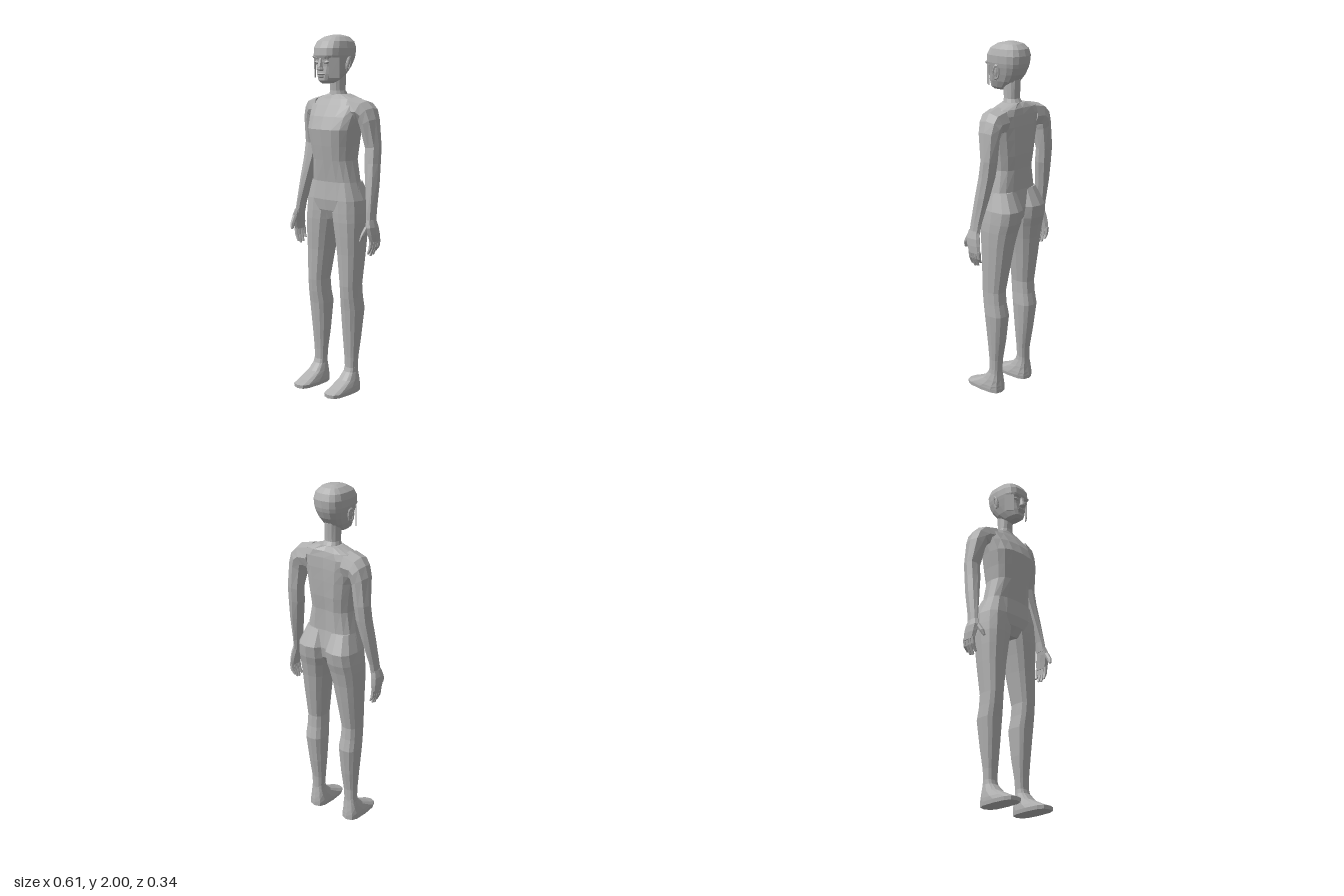
import * as THREE from 'three';

const skin = new THREE.MeshStandardMaterial({ color: 0xb0b0b0, flatShading: true });
skin.name = 'grey skin';

// Ring: [innerX, innerY, outerX, outerY, backZ, frontZ]; rings run bottom to top.
function loft(rings, sides = 8, power = 0.8, groove = 0) {
  const pos = [], idx = [];
  const bend = (v) => Math.sign(v) * Math.pow(Math.abs(v), power);
  for (const [xi, yi, xo, yo, z0, z1] of rings) {
    for (let j = 0; j < sides; j++) {
      const t = (j / sides) * Math.PI * 2;
      const u = (1 + bend(Math.cos(t))) / 2, v = (1 + bend(Math.sin(t))) / 2;
      const dent = j === sides * 0.75 ? groove : 0;
      pos.push(xi + (xo - xi) * u, yi + (yo - yi) * u, z0 + (z1 - z0) * v + dent);
    }
  }
  const n = rings.length;
  for (const [xi, yi, xo, yo, z0, z1] of [rings[0], rings[n - 1]]) {
    pos.push((xi + xo) / 2, (yi + yo) / 2, (z0 + z1) / 2);
  }
  for (let j = 0; j < sides; j++) {
    const k = (j + 1) % sides;
    for (let i = 0; i < n - 1; i++) {
      const a = i * sides + j, b = i * sides + k;
      idx.push(a, a + sides, b, b, a + sides, b + sides);
    }
    idx.push(n * sides, j, k, n * sides + 1, (n - 1) * sides + k, (n - 1) * sides + j);
  }
  const g = new THREE.BufferGeometry();
  g.setAttribute('position', new THREE.Float32BufferAttribute(pos, 3));
  g.setIndex(idx);
  const flat = g.toNonIndexed();
  flat.computeVertexNormals();
  return flat;
}

// Centred ring [y, halfWidth, backZ, frontZ] and level ring [y, innerX, outerX, backZ, frontZ]
const centred = ([y, w, z0, z1]) => [-w, y, w, y, z0, z1];
const level = ([y, x0, x1, z0, z1]) => [x0, y, x1, y, z0, z1];
const mirrored = ([xi, yi, xo, yo, z0, z1]) => [-xo, yo, -xi, yi, z0, z1];

export function createModel() {
  const model = new THREE.Group();
  model.name = 'figure';
  const add = (name, geometry) => {
    const m = new THREE.Mesh(geometry, skin);
    m.name = name;
    model.add(m);
    return m;
  };
  const pair = (name, rings, sides, power) => {
    add('left' + name, loft(rings, sides, power));
    add('right' + name, loft(rings.map(mirrored), sides, power));
  };

  // Torso and neck
  add('torso', loft([
    [0.985, 0.05, -0.08, 0.03], [1.04, 0.15, -0.13, 0.056], [1.1, 0.178, -0.14, 0.065],
    [1.2, 0.15, -0.122, 0.056], [1.32, 0.127, -0.122, 0.075], [1.4, 0.137, -0.132, 0.088],
    [1.49, 0.153, -0.137, 0.1], [1.56, 0.165, -0.139, 0.072], [1.62, 0.18, -0.137, 0.035],
    [1.655, 0.14, -0.13, 0.012], [1.68, 0.06, -0.11, 0.0],
  ].map(centred), 16, 0.75, 0.012));
  add('neck', loft([
    [1.66, 0.055, -0.11, 0.005], [1.7, 0.041, -0.085, 0], [1.8, 0.041, -0.09, 0.01],
  ].map(centred), 12, 0.85));

  // Head
  add('head', loft([
    [1.74, 0.022, 0.005, 0.075], [1.755, 0.042, -0.035, 0.092], [1.79, 0.06, -0.08, 0.093],
    [1.83, 0.073, -0.112, 0.09], [1.868, 0.084, -0.13, 0.094], [1.89, 0.089, -0.136, 0.103],
    [1.93, 0.091, -0.14, 0.1], [1.965, 0.082, -0.128, 0.078], [1.99, 0.056, -0.1, 0.035],
    [2.0, 0.025, -0.06, -0.01],
  ].map(centred), 16, 0.72));

  // Nose, lips and brow
  add('nose', loft([
    [1.808, 0.014, 0.08, 0.1], [1.815, 0.02, 0.08, 0.118], [1.828, 0.013, 0.08, 0.117],
    [1.875, 0.008, 0.08, 0.1],
  ].map(centred)));
  for (const [name, y, w] of [['lowerLip', 1.777, 0.024], ['upperLip', 1.79, 0.03]]) {
    add(name, loft([
      [y - 0.007, w * 0.6, 0.08, 0.095], [y, w, 0.08, 0.104], [y + 0.006, w * 0.7, 0.08, 0.097],
    ].map(centred)));
  }
  pair('Brow', [
    [0.01, 1.868, 0.06, 1.876, 0.06, 0.1], [0.012, 1.876, 0.065, 1.888, 0.06, 0.105],
  ]);
  pair('Eye', [
    [0.024, 1.843, 0.044, 1.845, 0.06, 0.09], [0.015, 1.851, 0.054, 1.855, 0.06, 0.096],
    [0.024, 1.86, 0.046, 1.863, 0.06, 0.09],
  ]);

  for (const s of [1, -1]) {
    const side = s > 0 ? 'left' : 'right';
    // Flat panels beside the eyes
    const panel = add(side + 'FacePanel', new THREE.BoxGeometry(0.056, 0.11, 0.004));
    panel.position.set(s * 0.072, 1.825, 0.063);
    panel.rotation.y = s * 0.9;
    // Ears
    const ear = new THREE.Group();
    ear.name = side + 'Ear';
    const bowl = new THREE.Mesh(new THREE.SphereGeometry(1, 8, 6), skin);
    bowl.name = 'earBowl';
    bowl.scale.set(0.01, 0.038, 0.017);
    const rim = new THREE.Mesh(new THREE.TorusGeometry(0.016, 0.005, 5, 10), skin);
    rim.name = 'earRim';
    rim.rotation.y = Math.PI / 2;
    rim.scale.y = 2.2;
    rim.position.x = s * 0.007;
    ear.add(bowl, rim);
    ear.position.set(s * 0.096, 1.847, -0.018);
    ear.rotation.set(-0.12, s * 0.35, -s * 0.12);
    model.add(ear);
  }

  // Arms, listed from the shoulder down
  pair('Arm', [
    [0.11, 1.52, 0.12, 1.667, -0.132, 0.03], [0.15, 1.53, 0.2, 1.648, -0.132, 0.012],
    [0.163, 1.53, 0.235, 1.61, -0.135, 0], [0.17, 1.5, 0.255, 1.55, -0.13, -0.01],
    [0.185, 1.39, 0.27, 1.4, -0.125, -0.04], [0.192, 1.31, 0.273, 1.31, -0.115, -0.028],
    [0.217, 1.2, 0.281, 1.2, -0.095, -0.01], [0.25, 1.05, 0.288, 1.05, -0.06, 0.012],
    [0.257, 0.99, 0.292, 0.99, -0.052, 0.02],
  ].reverse());

  // Hands with fingers and thumb
  pair('Palm', [
    [0.89, 0.276, 0.304, -0.07, 0.012], [0.93, 0.27, 0.306, -0.068, 0.025],
    [0.97, 0.263, 0.304, -0.06, 0.035], [1.01, 0.257, 0.292, -0.05, 0.022],
  ].map(level));
  for (let i = 0; i < 4; i++) {
    const z = -0.06 + i * 0.02, tip = 0.808 + [0.025, 0.005, 0, 0.012][i];
    pair('Finger' + (i + 1), [
      [0.264, tip, 0.276, tip, z - 0.003, z + 0.011],
      [0.274, 0.855, 0.297, 0.858, z - 0.008, z + 0.011],
      [0.278, 0.9, 0.303, 0.9, z - 0.01, z + 0.011],
    ], 6);
  }
  pair('Thumb', [
    [0.9, 0.258, 0.27, 0.052, 0.069], [0.93, 0.26, 0.282, 0.034, 0.064],
    [0.975, 0.264, 0.29, 0.005, 0.036],
  ].map(level), 6);

  // Legs with buttocks
  pair('Leg', [
    [0.12, 0.085, 0.155, -0.062, 0.004], [0.2, 0.08, 0.157, -0.066, 0.006],
    [0.32, 0.07, 0.167, -0.086, 0.016], [0.48, 0.062, 0.18, -0.106, 0.03],
    [0.55, 0.068, 0.177, -0.092, 0.04], [0.62, 0.07, 0.176, -0.086, 0.046],
    [0.8, 0.046, 0.184, -0.115, 0.05], [0.9, 0.03, 0.188, -0.13, 0.056],
    [0.98, 0.015, 0.19, -0.147, 0.06], [1.03, 0.006, 0.188, -0.162, 0.06],
    [1.1, 0.004, 0.182, -0.172, 0.058], [1.2, 0.02, 0.148, -0.12, 0.045],
  ].map(level), 12, 0.75);

  // Feet
  pair('Foot', [
    [0, 0.066, 0.176, -0.075, 0.168], [0.02, 0.063, 0.178, -0.075, 0.17],
    [0.04, 0.066, 0.176, -0.073, 0.12], [0.075, 0.073, 0.168, -0.068, 0.05],
    [0.115, 0.082, 0.158, -0.063, 0.012], [0.14, 0.084, 0.156, -0.061, 0.004],
  ].map(level), 12, 0.68);

  return model;
}
